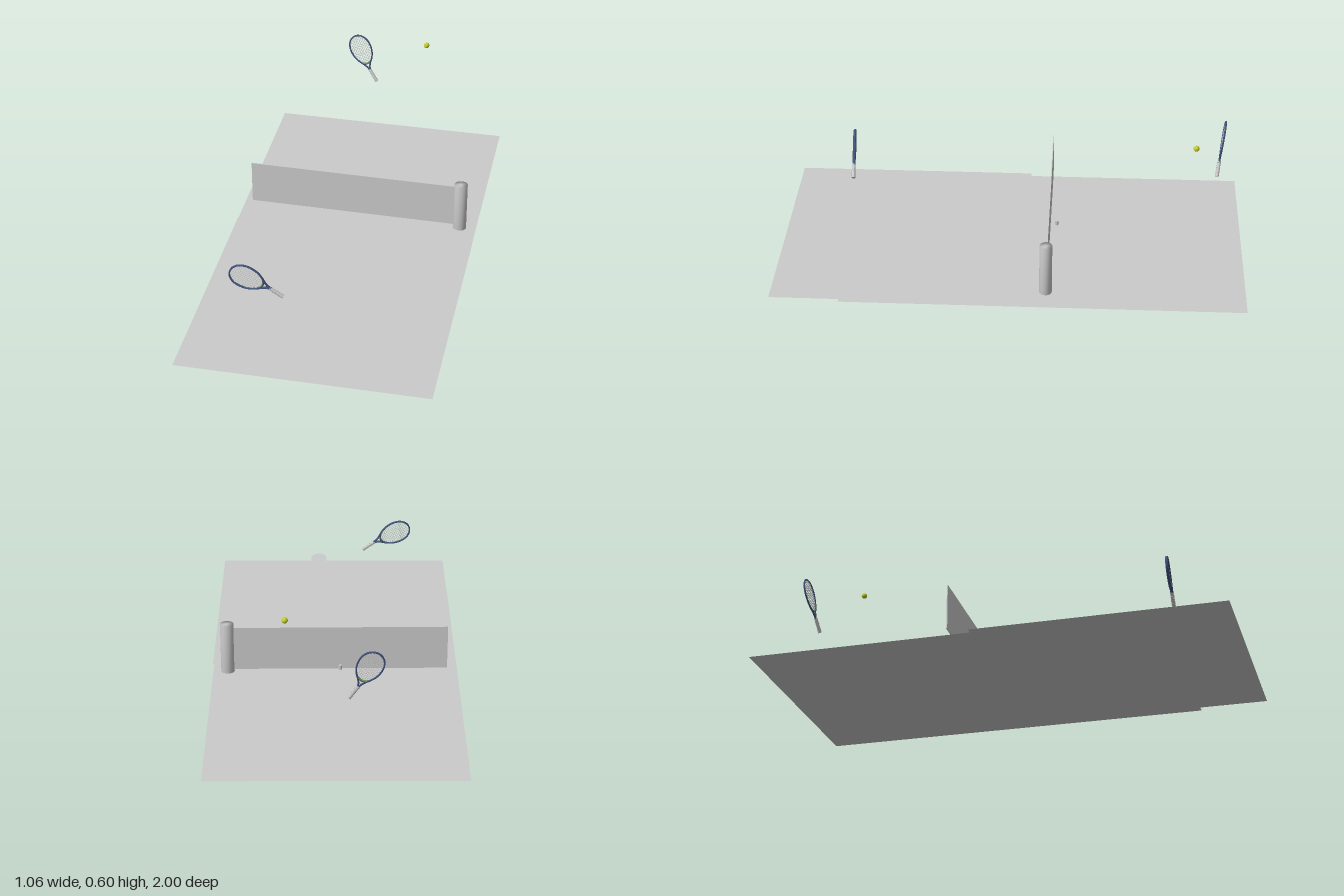
import * as THREE from 'three';
import { mergeGeometries, mergeVertices } from 'three/addons/utils/BufferGeometryUtils.js';

const grey = new THREE.MeshStandardMaterial({ color: 0xcccccc });
const greySheet = new THREE.MeshStandardMaterial({ color: 0xcccccc, side: THREE.DoubleSide });
const frameBlue = new THREE.MeshStandardMaterial({ color: 0x44557f });
const bridgeGreen = new THREE.MeshStandardMaterial({ color: 0x6f9a5a });
const ballYellow = new THREE.MeshStandardMaterial({ color: 0xc3cc2e });

function add(parent, name, geometry, material, x = 0, y = 0, z = 0) {
  const mesh = new THREE.Mesh(geometry, material);
  mesh.name = name;
  mesh.position.set(x, y, z);
  parent.add(mesh);
  return mesh;
}

// Egg-shaped head outline, narrower towards the throat
const HEAD_Y = 0.102;
function headPoint(t) {
  const s = Math.sin(t);
  return new THREE.Vector3(0.05 * Math.cos(t) * (1 + 0.12 * s), HEAD_Y + 0.073 * s, 0);
}

function stringGeometry() {
  const outline = Array.from({ length: 240 }, (_, i) => headPoint((i / 240) * Math.PI * 2));
  const bars = [];
  const gap = 0.0085, width = 0.0012;
  // main strings
  for (let i = -5; i <= 5; i++) {
    const x = i * gap;
    const ys = outline.filter(p => p.x >= Math.abs(x)).map(p => p.y);
    const lo = Math.min(...ys), hi = Math.max(...ys);
    bars.push(new THREE.BoxGeometry(width, hi - lo, width).translate(x, (lo + hi) / 2, 0.0004));
  }
  // cross strings
  for (let i = -8; i <= 8; i++) {
    const half = headPoint(Math.asin((i * gap) / 0.073)).x;
    bars.push(new THREE.BoxGeometry(half * 2, width, width).translate(0, HEAD_Y + i * gap, -0.0004));
  }
  return mergeGeometries(bars);
}

// Racket with its grip end at the origin; the head leans by "bend" at the throat
function makeRacket(name, bend, depth) {
  const racket = new THREE.Group();
  racket.name = name;

  add(racket, 'grip', new THREE.CylinderGeometry(0.0075, 0.0085, 0.068, 8), grey, 0, 0.034);
  for (let i = 0; i < 6; i++) {
    const wrap = add(racket, 'gripWrap', new THREE.TorusGeometry(0.008, 0.0008, 4, 10), grey, 0, 0.008 + i * 0.0105);
    wrap.rotation.set(Math.PI / 2, 0.2, 0);
  }

  const upper = new THREE.Group();
  upper.name = 'head';
  upper.position.y = 0.068;
  upper.rotation.z = bend;
  racket.add(upper);

  // head loop
  const loop = new THREE.CatmullRomCurve3(
    Array.from({ length: 24 }, (_, i) => headPoint((i / 24) * Math.PI * 2)), true);
  const hoop = add(upper, 'headFrame', new THREE.TubeGeometry(loop, 56, 0.0036, 6, true), frameBlue);
  hoop.scale.z = depth;

  // throat arms running from the shaft into the head loop
  for (const side of [-1, 1]) {
    const arm = new THREE.CatmullRomCurve3([
      new THREE.Vector3(side * 0.003, -0.006, 0),
      new THREE.Vector3(side * 0.0045, 0.008, 0),
      new THREE.Vector3(side * 0.014, 0.026, 0),
      new THREE.Vector3(side * 0.03, 0.047, 0),
    ]);
    add(upper, 'throatArm', new THREE.TubeGeometry(arm, 12, 0.0038, 6), frameBlue).scale.z = depth;
  }

  // bridge across the throat
  const bridge = new THREE.QuadraticBezierCurve3(
    new THREE.Vector3(-0.02, 0.037, 0), new THREE.Vector3(0, 0.025, 0), new THREE.Vector3(0.02, 0.037, 0));
  add(upper, 'throatBridge', new THREE.TubeGeometry(bridge, 10, 0.0042, 6), bridgeGreen);

  add(upper, 'strings', stringGeometry(), grey);
  return racket;
}

export function createModel() {
  const model = new THREE.Group();

  // two overlapping court sheets, the front one slightly higher
  const sheet = (w, d) => new THREE.PlaneGeometry(w, d).rotateX(-Math.PI / 2);
  add(model, 'backCourt', sheet(1.06, 1.71), greySheet, -0.004, 0, -0.145);
  add(model, 'frontCourt', sheet(1.06, 1.06), greySheet, 0, 0.016, 0.47);

  // net, a thin panel sloping very slightly
  const panel = new THREE.Shape([[-0.485, 0.052], [0.45, 0.047], [0.45, 0.245], [-0.485, 0.25]]
    .map(p => new THREE.Vector2(...p)));
  const net = new THREE.ExtrudeGeometry(panel, { depth: 0.004, bevelEnabled: false });
  add(model, 'net', net, grey, 0, 0, -0.164);

  // post, smooth across its rims
  let post = new THREE.CylinderGeometry(0.029, 0.029, 0.227, 24);
  post.deleteAttribute('normal');
  post.deleteAttribute('uv');
  post = mergeVertices(post);
  post.computeVertexNormals();
  add(model, 'netPost', post, grey, 0.459, 0.1485, -0.158).scale.z = 0.92;

  // small fitting behind the net
  add(model, 'netFitting', new THREE.CylinderGeometry(0.007, 0.007, 0.02, 12), grey, -0.025, 0.07, -0.191);

  // flat oval disc hovering over the front court
  const disc = add(model, 'ovalDisc', new THREE.CircleGeometry(1, 32).rotateX(-Math.PI / 2), greySheet, 0.07, 0.21, 0.61);
  disc.scale.set(0.036, 1, 0.055);

  add(model, 'ball', new THREE.SphereGeometry(0.0125, 20, 14), ballYellow, 0.195, 0.59, -0.77);

  // rackets
  const deg = Math.PI / 180;
  const front = makeRacket('frontRacket', 9 * deg, 1.7);
  front.position.set(-0.135, 0.208, 0.715);
  front.rotation.set(0.045, 0.08, 56 * deg, 'ZXY');
  const back = makeRacket('backRacket', -8 * deg, 1.1);
  back.position.set(-0.055, 0.307, -0.88);
  back.rotation.set(-0.14, 0, 33 * deg, 'ZXY');
  model.add(front, back);

  return model;
}
